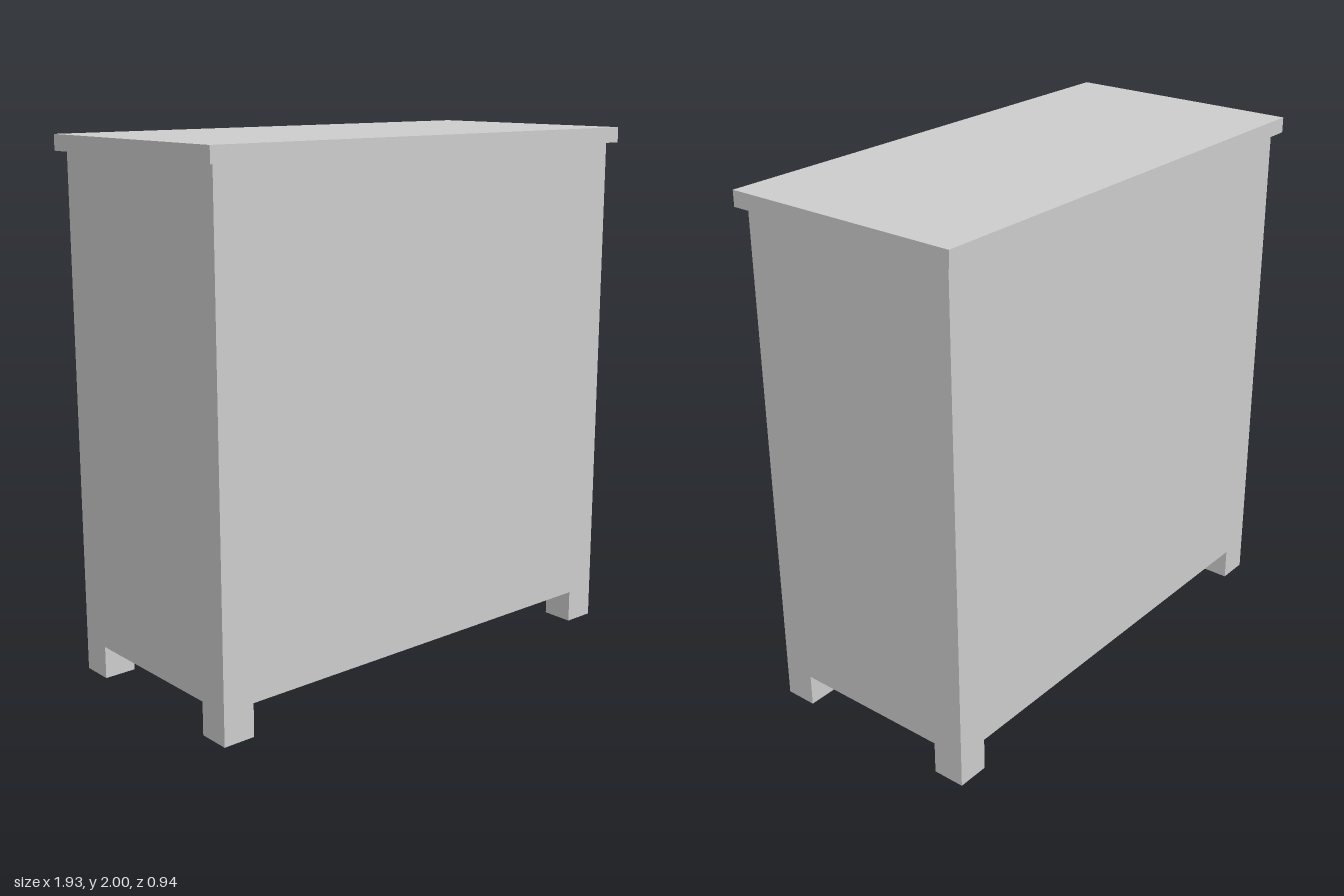
import * as THREE from 'three';

export function createModel() {
  const model = new THREE.Group();
  const grey = new THREE.MeshStandardMaterial({ color: 0xcccccc });
  grey.name = 'light grey';

  // Adds a box resting at height y
  const box = (name, w, h, d, x, y, z) => {
    const mesh = new THREE.Mesh(new THREE.BoxGeometry(w, h, d), grey);
    mesh.name = name;
    mesh.position.set(x, y + h / 2, z);
    model.add(mesh);
  };

  const width = 1.87, depth = 0.874;   // cabinet footprint
  const foot = 0.124;                  // foot cube size
  const topThickness = 0.058, overhang = 0.031;

  // Cabinet body and overhanging top board
  box('body', width, 2 - topThickness - foot, depth, 0, foot, 0);
  box('topBoard', width + 2 * overhang, topThickness, depth + 2 * overhang, 0, 2 - topThickness, 0);

  // Four square feet flush with the body corners
  for (const [side, sx] of [['left', 1], ['right', -1]]) {
    for (const [end, sz] of [['Front', 1], ['Back', -1]]) {
      box(`${side}${end}Foot`, foot, foot, foot, sx * (width - foot) / 2, 0, sz * (depth - foot) / 2);
    }
  }
  return model;
}
